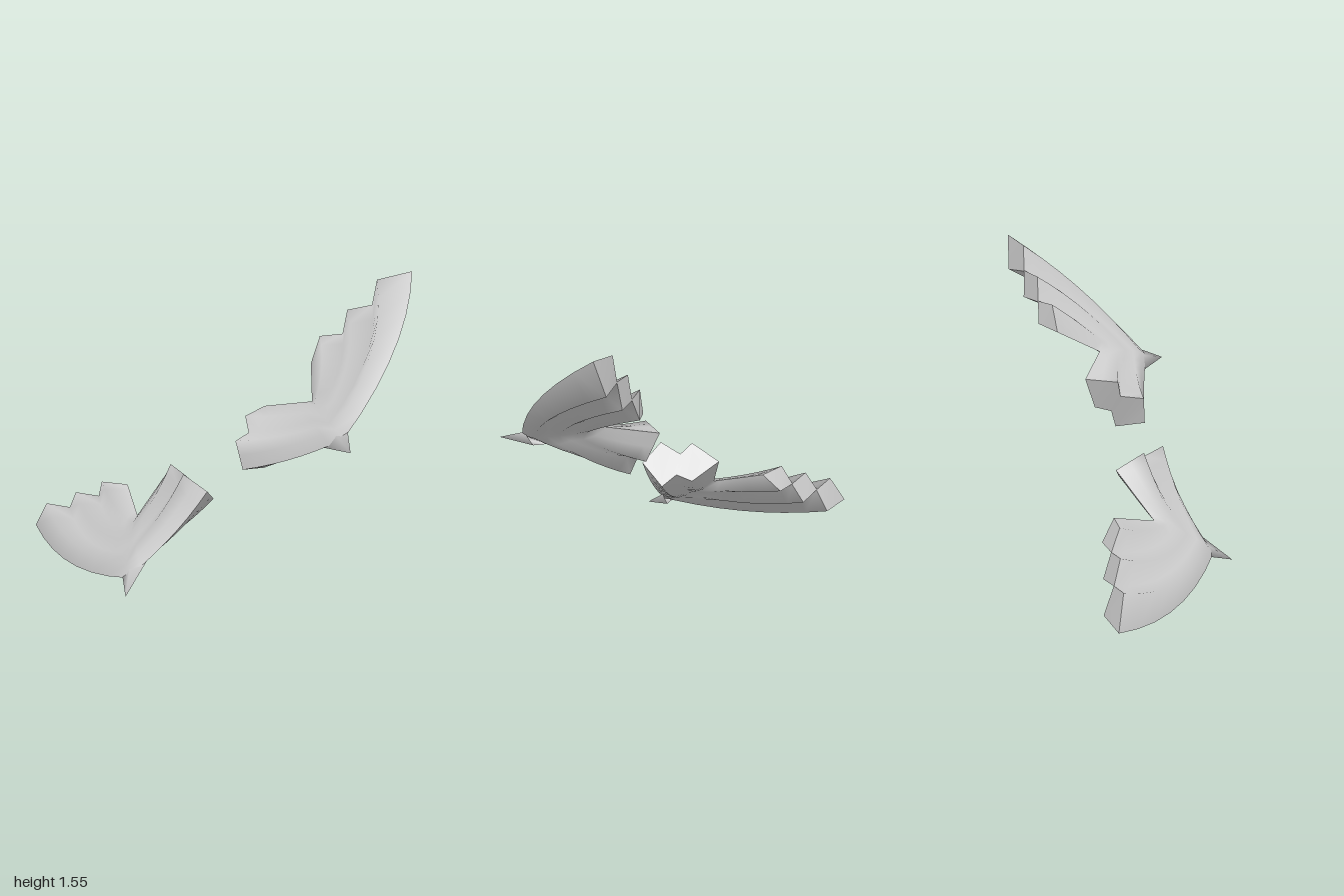
import * as THREE from 'three';

const V = (x, y, z) => new THREE.Vector3(x, y, z);
const pts = rows => rows.map(r => V(...r));

// Left wing end sections, listed from the front edge to the rear edge.
// Upper and lower skin meet at every second finger point, so each finger ends in a diamond.
const TIP_UPPER = pts([
  [1.0, 1.55, -0.38], [0.83, 1.51, -0.34], [0.81, 1.38, -0.345], [0.69, 1.36, -0.305],
  [0.67, 1.235, -0.31], [0.56, 1.23, -0.265], [0.52, 1.09, -0.25],
]);
const TIP_LOWER = pts([
  [1.0, 1.55, -0.38], [0.94, 1.37, -0.395], [0.81, 1.375, -0.345], [0.79, 1.24, -0.355],
  [0.67, 1.23, -0.31], [0.63, 1.12, -0.32], [0.52, 1.09, -0.25],
]);
const ARM_UPPER = pts([
  [0.23, 0.64, 0.13], [0.21, 0.71, 0.12], [0.19, 0.78, 0.11], [0.24, 0.79, 0.0],
  [0.22, 0.87, -0.02], [0.26, 0.875, -0.095], [0.30, 0.88, -0.17],
]);
const ARM_LOWER = pts([
  [0.23, 0.64, 0.13], [0.275, 0.625, 0.065], [0.32, 0.61, 0.0], [0.30, 0.70, -0.03],
  [0.33, 0.72, -0.11], [0.315, 0.80, -0.14], [0.30, 0.88, -0.17],
]);
const COLS = TIP_UPPER.length;
const WRIST = V(0.73, 0.89, 0.32);
const ARMPIT = V(0.55, 0.965, -0.01);
const UP = V(-0.61, 0.70, 0.39);
const FINGER_BOW = V(0.075, 0.025, 0.03);
const ARM_BOW = V(0.01, -0.02, -0.005);
const STEPS = 7;

// Claw at the wrist: its tip, then its base
const CLAW = pts([
  [0.77, 0.86, 0.43], [0.745, 0.92, 0.29], [0.68, 0.90, 0.27], [0.62, 0.82, 0.25], [0.715, 0.845, 0.265],
]);

// Point on one column from the bend line (t = 0) to an end section (t = 1)
function along(end, i, t, side, bow) {
  const f = i / (COLS - 1);
  const thickness = i === 0 || i === COLS - 1 ? 0 : 0.025;
  return WRIST.clone().lerp(ARMPIT, f)
    .addScaledVector(UP, side * thickness)
    .lerp(end, t)
    .addScaledVector(bow, (1 - f * f) * 4 * t * (1 - t));
}

function makeMesh(name, points, faces, matrix, flip) {
  const g = new THREE.BufferGeometry().setFromPoints(points.map(p => p.clone().applyMatrix4(matrix)));
  g.setIndex(faces.flatMap(([a, b, c]) => (flip ? [a, c, b] : [a, b, c])));
  g.computeVertexNormals();
  const mesh = new THREE.Mesh(g, new THREE.MeshStandardMaterial({ color: 0xcccccc, side: THREE.DoubleSide }));
  mesh.name = name;
  return mesh;
}

function makeWing(name, matrix, flip) {
  const wing = new THREE.Group();
  wing.name = name;

  // Skin: closed rings swept from the shoulder, round the bend, out to the finger ends
  const points = [];
  const faces = [];
  const ringSize = 2 * COLS;
  for (let k = -STEPS; k <= STEPS; k++) {
    const t = Math.abs(k) / STEPS;
    const [upper, lower, bow] = k < 0 ? [ARM_UPPER, ARM_LOWER, ARM_BOW] : [TIP_UPPER, TIP_LOWER, FINGER_BOW];
    for (let i = 0; i < COLS; i++) points.push(along(upper[i], i, t, 1, bow));
    for (let i = COLS - 1; i >= 0; i--) points.push(along(lower[i], i, t, -1, bow));
  }
  const id = (k, j) => k * ringSize + (j % ringSize);
  for (let k = 0; k < 2 * STEPS; k++) {
    for (let j = 0; j < ringSize; j++) {
      faces.push([id(k, j), id(k + 1, j), id(k, j + 1)]);
      faces.push([id(k, j + 1), id(k + 1, j), id(k + 1, j + 1)]);
    }
  }
  wing.add(makeMesh('wingSkin', points, faces, matrix, flip));

  // Closing strips between both skins at the finger ends and at the shoulder
  const strip = [];
  for (let i = 0; i < COLS - 1; i++) {
    strip.push([i, COLS + i, i + 1], [i + 1, COLS + i, COLS + i + 1]);
  }
  wing.add(makeMesh('fingerEnds', [...TIP_UPPER, ...TIP_LOWER], strip, matrix, flip));
  wing.add(makeMesh('shoulderEnd', [...ARM_UPPER, ...ARM_LOWER], strip, matrix, !flip));

  const clawFaces = [1, 2, 3, 4].map(i => [0, i, i % 4 + 1]);
  wing.add(makeMesh('wristClaw', CLAW, clawFaces, matrix, flip));
  return wing;
}

// Frame through three landmarks: claw, tip and shoulder
function frame(claw, tip, shoulder) {
  const x = tip.clone().sub(claw).normalize();
  const z = x.clone().cross(shoulder.clone().sub(claw)).normalize();
  const y = z.clone().cross(x);
  return new THREE.Matrix4().makeBasis(x, y, z).setPosition(claw);
}

export function createModel() {
  const model = new THREE.Group();
  model.name = 'wings';
  model.add(makeWing('leftWing', new THREE.Matrix4(), false));

  // Right wing: the mirrored left wing, swung down to its own pose
  const mirror = new THREE.Matrix4().makeScale(-1, 1, 1);
  const mirrored = [CLAW[0], TIP_UPPER[0], ARM_UPPER[2]].map(p => p.clone().applyMatrix4(mirror));
  const pose = frame(V(-0.31, 0.04, 0.40), V(-1.0, 0.04, -0.44), V(-0.07, 0.60, 0.11))
    .multiply(frame(...mirrored).invert())
    .multiply(mirror);
  model.add(makeWing('rightWing', pose, true));
  return model;
}
